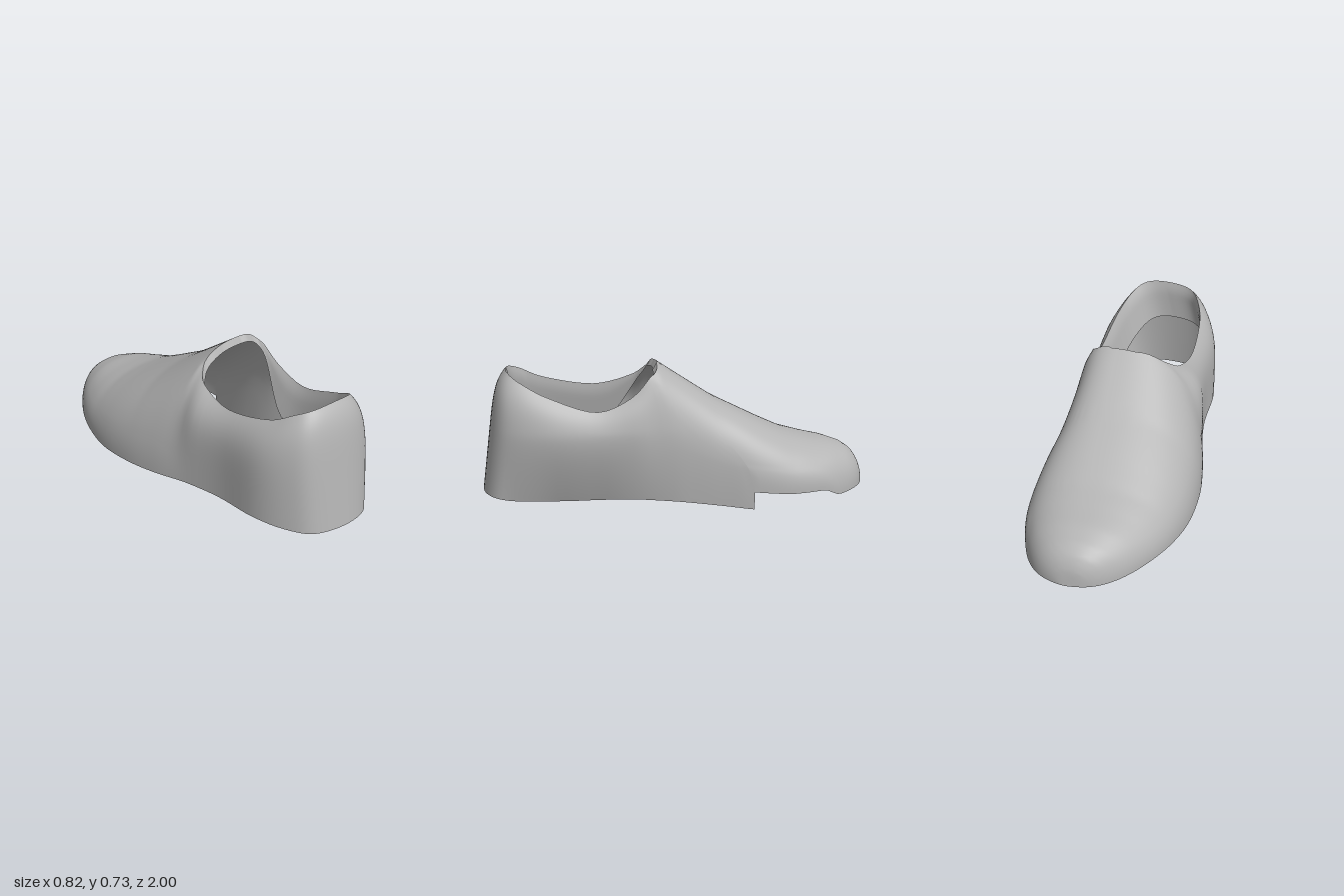
import * as THREE from 'three';

// Stations round the shoe: widest outline x, z, then collar rim x, z, y
const leftSide = [
  [0.05, -1, 0.08, 0.10, 0.735], [-0.075, -0.96, 0.04, 0.10, 0.735],
  [-0.2, -0.845, 0, 0.10, 0.73], [-0.32, -0.65, -0.03, 0.105, 0.72],
  [-0.395, -0.42, -0.07, 0.11, 0.71], [-0.415, -0.2, -0.12, 0.115, 0.70],
  [-0.395, 0, -0.165, 0.135, 0.67], [-0.352, 0.2, -0.215, 0.2, 0.605],
  [-0.326, 0.42, -0.245, 0.4, 0.555], [-0.33, 0.68, -0.235, 0.66, 0.60],
  [-0.27, 0.86, -0.19, 0.79, 0.66], [-0.18, 0.96, -0.125, 0.85, 0.685],
  [0, 1, 0, 0.87, 0.695],
];
const rightSide = [
  [0.16, 0.97, 0.11, 0.86, 0.685], [0.255, 0.88, 0.18, 0.8, 0.645],
  [0.315, 0.68, 0.235, 0.66, 0.575], [0.326, 0.42, 0.268, 0.42, 0.505],
  [0.326, 0.2, 0.26, 0.22, 0.59], [0.335, 0, 0.235, 0.14, 0.68],
  [0.365, -0.2, 0.21, 0.115, 0.71], [0.398, -0.36, 0.185, 0.11, 0.72],
  [0.41, -0.52, 0.16, 0.11, 0.73], [0.395, -0.66, 0.14, 0.105, 0.735],
  [0.345, -0.81, 0.125, 0.10, 0.735], [0.265, -0.925, 0.11, 0.10, 0.735],
  [0.165, -0.985, 0.095, 0.10, 0.735],
];
const STEP = leftSide.length + 7; // station of the notch in the lower edge

// Profiles along z: instep ridge, the lower edges, and the tuck under the arch
const ridge = [[-1, 0.06], [-0.99, 0.14], [-0.975, 0.18], [-0.95, 0.22], [-0.9, 0.26], [-0.8, 0.295],
  [-0.7, 0.315], [-0.57, 0.35], [-0.45, 0.405], [-0.33, 0.465], [-0.2, 0.53], [-0.1, 0.595], [0.02, 0.675], [0.11, 0.735]];
const leftEdge = [[-1, 0.073], [-0.7, 0.07], [-0.45, 0.054], [-0.2, 0.067],
  [0, 0.075], [0.2, 0.085], [0.7, 0.093], [1, 0.066]];
const rightRear = [[-0.36, 0.002], [0, 0.033], [0.2, 0.042], [0.6, 0.035], [0.87, 0.045], [1, 0.066]];
const rightFront = [[-1, 0.07], [-0.82, 0.045], [-0.74, 0.082], [-0.55, 0.078], [-0.36, 0.092]];
const archTuck = [[-0.36, 0], [0, 0.025], [0.2, 0.065], [0.4, 0.11], [0.65, 0.12], [0.87, 0.065], [1, 0]];

function at(table, z) {
  if (z <= table[0][0]) return table[0][1];
  for (let i = 1; i < table.length; i++) {
    const [z0, y0] = table[i - 1], [z1, y1] = table[i];
    if (z <= z1) return y0 + (y1 - y0) * (z - z0) / (z1 - z0);
  }
  return table[table.length - 1][1];
}

// Closed grid of rows (v) by columns (j)
function loopGrid(columns, rows, point) {
  const n = columns.length, pos = [], idx = [];
  for (let r = 0; r <= rows; r++) columns.forEach(c => pos.push(...point(c, r / rows)));
  for (let r = 0; r < rows; r++) for (let j = 0; j < n; j++) {
    const a = r * n + j, b = r * n + (j + 1) % n;
    idx.push(a, b, a + n, b, b + n, a + n);
  }
  const g = new THREE.BufferGeometry();
  g.setAttribute('position', new THREE.Float32BufferAttribute(pos, 3));
  g.setIndex(idx);
  g.computeVertexNormals();
  return g;
}

export function createModel() {
  const stations = [...leftSide, ...rightSide], n = stations.length;
  const { lerp, smoothstep, clamp } = THREE.MathUtils;
  const loop = f => new THREE.CatmullRomCurve3(stations.map(f), true, 'catmullrom', 0.5);
  const outline = loop(s => new THREE.Vector3(s[0], 0, s[1]));
  const rimLine = loop(s => new THREE.Vector3(s[2], s[4], s[3]));

  // Sample columns, doubling one at the notch to keep it sharp
  const columns = [];
  const heel = leftSide.length - 1;
  const addColumn = (t, front) => {
    const o = outline.getPoint(t / n), rim = rimLine.getPoint(t / n);
    o.z = clamp(o.z, -1, 1);
    const edge = t <= heel ? leftEdge : front ? rightFront : rightRear;
    const tuck = t <= heel ? 0 : at(archTuck, o.z);
    columns.push({ o, rim, t, tuck, base: at(edge, o.z), wall: smoothstep(o.z, 0, 0.25) });
  };
  for (let i = 0; i < n; i++) for (let k = 0; k < 5; k++) {
    const t = i + k / 5;
    addColumn(t, t > STEP);
    if (t === STEP) addColumn(t + 0.01, true);
  }

  // Half widths of the plan at any z
  const byZ = list => list.map(c => [c.o.z, c.o.x]).sort((a, b) => a[0] - b[0]);
  const leftX = byZ(columns.filter(c => c.t <= heel));
  const rightX = byZ([columns[0], ...columns.filter(c => c.t >= heel)]);

  // Height of the rounded forefoot
  const FLOOR = 0.06;
  function instep(x, z) {
    const f = clamp((z + 1) / 1.1, 0, 1);
    const c = 0.05 + 0.04 * f, right = x > c;
    const w = Math.abs(at(right ? rightX : leftX, z) - c);
    const u = Math.min(1, Math.abs(x - c) / Math.max(w, 1e-4));
    const p = 2.2 + f * (right ? 0.8 : 0.15);
    return FLOOR + (at(ridge, z) - FLOOR) * Math.pow(1 - Math.pow(u, p), 1 / p);
  }

  // Forefoot follows the instep; rear walls stand up and roll in at the collar
  function shellPoint({ o, rim, base, wall, tuck }, v) {
    const s = Math.pow(v, 2.1);
    const x = lerp(o.x, rim.x, lerp(s, Math.pow(v, 6), wall));
    const z = lerp(o.z, rim.z, lerp(s, 0.6 * v + 0.4 * Math.pow(v, 10), wall));
    const yFront = wall < 1 ? instep(x, z) + (base - FLOOR) * Math.max(0, 1 - v / 0.3) : 0;
    const y = v === 0 ? base : lerp(yFront, lerp(base, rim.y, v), wall);
    return [x - tuck * Math.pow(Math.max(0, 1 - y / 0.4), 1.4), y, z];
  }

  // Lining hangs from the rim, short at the throat and deep at the heel
  function liningPoint(c, v) {
    const [x, y, z] = shellPoint(c, 1);
    const deep = smoothstep(z, 0.1, 0.35);
    const lip = 0.012 * Math.sin(Math.min(1, v * 3) * Math.PI / 2);
    const dx = -Math.sign(x) * lip * deep - 0.05 * v * deep;
    const dz = 0.02 * v * (1 - deep) - (z > 0.75 ? lip : 0);
    return [x + dx, y - (0.035 + 0.185 * deep) * v, z + dz];
  }

  const leather = new THREE.MeshStandardMaterial({ color: 0xb4b4b4, side: THREE.DoubleSide });
  leather.name = 'grey leather';
  const group = new THREE.Group();
  group.name = 'shoeUpper';
  const add = (name, geometry) => {
    const mesh = new THREE.Mesh(geometry, leather);
    mesh.name = name;
    group.add(mesh);
  };
  add('outerShell', loopGrid(columns, 34, shellPoint));
  add('collarLining', loopGrid(columns, 9, liningPoint));
  return group;
}
